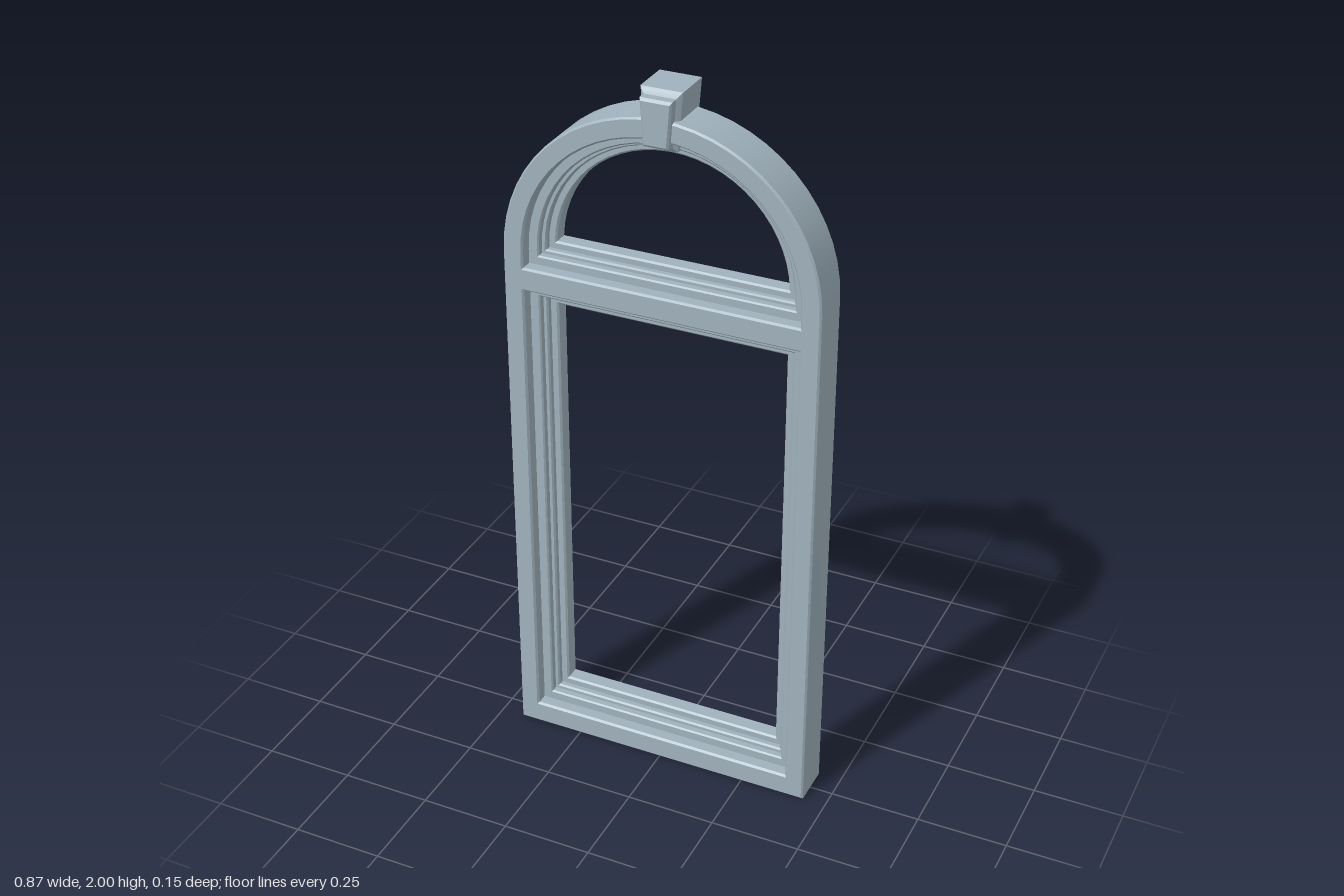
import * as THREE from 'three';
import { toCreasedNormals } from 'three/addons/utils/BufferGeometryUtils.js';

const SPRING = 1.495; // height where the arch starts
const ARC = 28;

// Counter-clockwise arched outline: straight sill, round head
function arched(r, sill) {
  const a0 = Math.asin(Math.max(0, sill - SPRING) / r);
  const pts = [[-r * Math.cos(a0), sill], [r * Math.cos(a0), sill]];
  for (let i = 0; i <= ARC; i++) {
    const a = a0 + (Math.PI - 2 * a0) * i / ARC;
    // tiny lift keeps the first point apart from the sill corner
    pts.push([r * Math.cos(a), Math.max(SPRING, sill + 0.001) + r * (Math.sin(a) - Math.sin(a0))]);
  }
  return pts;
}

const trapezoid = (bottom, top, y0, y1) => [[-bottom, y0], [bottom, y0], [top, y1], [-top, y1]];

// Skin through closed outlines, each given as { pts, z }
function loft(rings) {
  const n = rings[0].pts.length, pos = [], idx = [];
  rings.forEach(({ pts, z }) => pts.forEach(([x, y]) => pos.push(x, y, z)));
  for (let r = 0; r < rings.length - 1; r++) {
    for (let i = 0; i < n; i++) {
      const a = r * n + i, b = r * n + (i + 1) % n;
      idx.push(a, a + n, b, b, a + n, b + n);
    }
  }
  const g = new THREE.BufferGeometry();
  g.setAttribute('position', new THREE.Float32BufferAttribute(pos, 3));
  g.setIndex(idx);
  return toCreasedNormals(g, 0.45);
}

function plate(outline, holes, z) {
  const toV = (pts) => pts.map(([x, y]) => new THREE.Vector2(x, y));
  const s = new THREE.Shape(toV(outline));
  holes.forEach((h) => s.holes.push(new THREE.Path(toV(h))));
  return new THREE.ShapeGeometry(s).translate(0, 0, z);
}

export function createModel() {
  const model = new THREE.Group();
  model.name = 'archedWindowFrame';
  const paint = new THREE.MeshStandardMaterial({ color: 0xa0b2bd, side: THREE.DoubleSide });
  paint.name = 'blueGreyPaint';
  const add = (name, geometry) => {
    const m = new THREE.Mesh(geometry, paint);
    m.name = name;
    model.add(m);
  };

  const FRONT = 0.058, BACK = -0.064;

  // Openings as outlines shrunk by d from the face edge
  const lower = (d) => trapezoid(0.385 - d, 0.385 - d, 0.06 + d, 1.395 - d);
  const upper = (d) => arched(0.385 - d, 1.45 + d * 0.92);

  // Stepped moulding section: inset from the face edge, depth
  const steps = [
    [0, FRONT], [0.005, 0.052], [0.005, 0.022], [0.028, 0.022], [0.032, 0.018],
    [0.032, 0.002], [0.04, 0.002], [0.044, -0.003], [0.044, -0.016],
    [0.06, -0.016], [0.065, -0.021], [0.065, -0.058],
  ].reverse();
  const moulding = (outline) => loft(steps.map(([d, z]) => ({ pts: outline(d), z })));

  add('frontFace', plate(arched(0.43, 0.005), [lower(0), upper(0)], FRONT));
  add('outerWall', loft([
    { pts: arched(0.43, 0.005), z: FRONT },
    { pts: arched(0.435, 0), z: FRONT - 0.005 },
    { pts: arched(0.435, 0), z: BACK },
  ]));
  add('lowerMoulding', moulding(lower));
  add('upperMoulding', moulding(upper));

  // Keystone: hollow tapered block with a raised, bevelled front wedge
  const wedgeTip = trapezoid(0.029, 0.038, 1.867, 1.978);
  const wedge = trapezoid(0.034, 0.043, 1.861, 1.985);
  const block = trapezoid(0.043, 0.056, 1.845, 2.0);
  add('keystone', loft([
    { pts: wedgeTip, z: 0.072 },
    { pts: wedge, z: 0.066 },
    { pts: wedge, z: 0.044 },
    { pts: trapezoid(0.038, 0.05, 1.851, 1.994), z: 0.039 },
    { pts: block, z: 0.033 },
    { pts: block, z: -0.074 },
  ]));
  add('keystoneFace', plate(wedgeTip, [], 0.072));

  return model;
}
